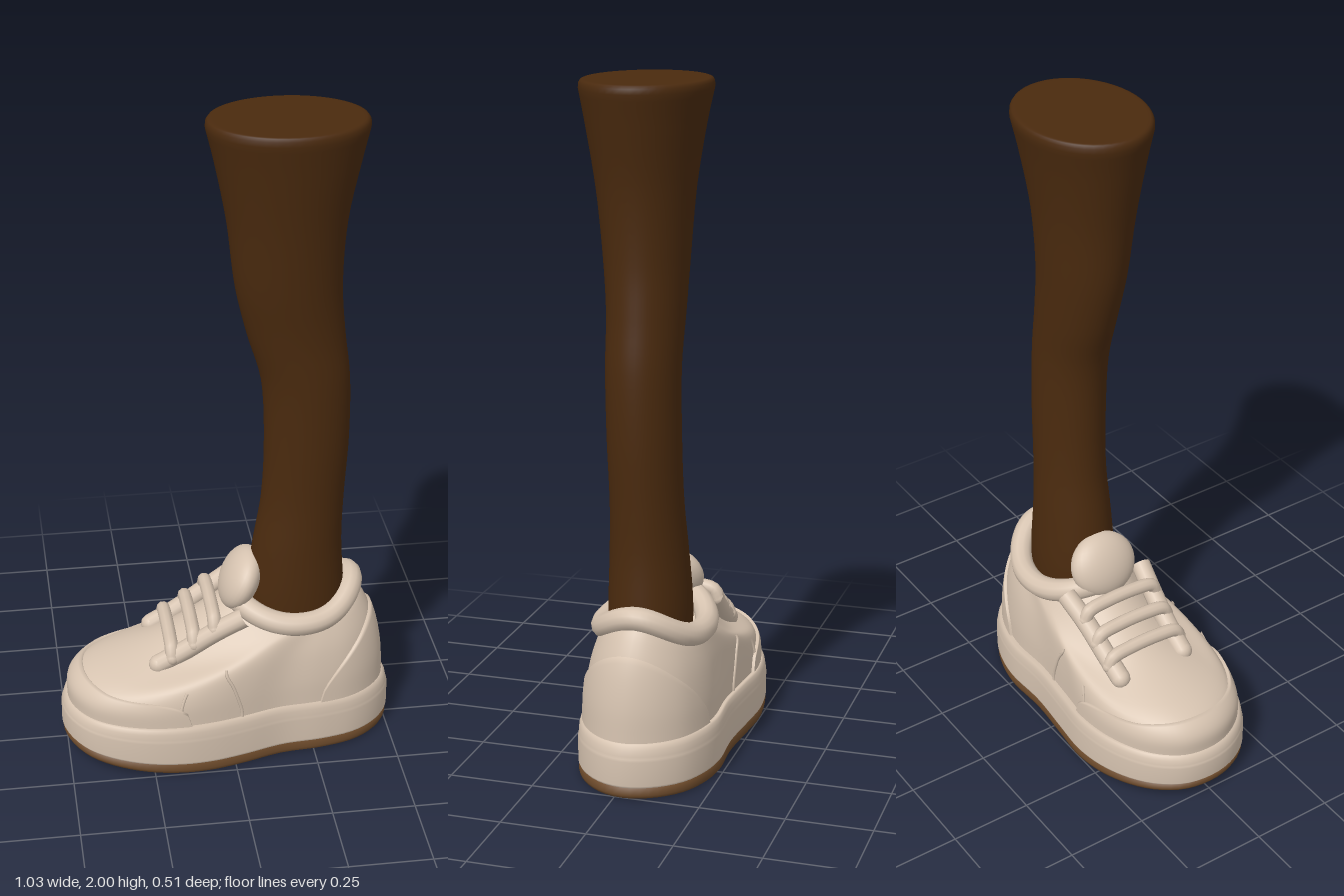
import * as THREE from 'three';

const V = (x, y, z) => new THREE.Vector3(x, y, z);
const mat = (name, color, side = THREE.FrontSide) => {
  const m = new THREE.MeshStandardMaterial({ color, side });
  m.name = name;
  return m;
};

// Skin a stack of rings (or open rows) of equal length, listed upwards
function loft(rings, closed = true) {
  const n = rings[0].length, idx = [];
  const cols = closed ? n : n - 1;
  for (let j = 0; j < rings.length - 1; j++) {
    for (let i = 0; i < cols; i++) {
      const a = j * n + i, b = j * n + (i + 1) % n;
      idx.push(a, a + n, b, b, a + n, b + n);
    }
  }
  const g = new THREE.BufferGeometry().setFromPoints(rings.flat());
  g.setIndex(idx);
  g.computeVertexNormals();
  return g;
}

// Plan outline of the sole, from toe along -z to heel and back along +z
const N = 96;
const outline = new THREE.CatmullRomCurve3([
  [-0.515, 0], [-0.5, -0.085], [-0.45, -0.155], [-0.38, -0.205], [-0.28, -0.243], [-0.17, -0.257],
  [-0.05, -0.247], [0.1, -0.235], [0.25, -0.24], [0.35, -0.22], [0.43, -0.18], [0.49, -0.11],
  [0.515, -0.03], [0.5, 0.04], [0.45, 0.105], [0.38, 0.15], [0.28, 0.175], [0.15, 0.188],
  [0.03, 0.222], [-0.07, 0.245], [-0.17, 0.255], [-0.28, 0.245], [-0.38, 0.21], [-0.45, 0.16], [-0.5, 0.08],
].map(([x, z]) => V(x, 0, z)), true);
outline.arcLengthDivisions = 600;
const wrap = (u) => ((u % 1) + 1) % 1;

// Sole ring with the toe curving slightly off the ground
function soleRing(scale, y) {
  return Array.from({ length: N }, (_, i) => {
    const p = outline.getPointAt(i / N).multiplyScalar(scale);
    const t = Math.max(0, (-0.05 - p.x) / 0.465);
    p.y = y + 0.035 * Math.pow(t, 1.5) * Math.max(0, 1 - y / 0.16);
    return p;
  });
}

// Collar line, by angle measured from the heel
function collarPoint(phi) {
  const c = Math.cos(phi);
  const y = 0.425 + (c > 0 ? 0.075 * c ** 3 : 0.055 * c * c);
  return V(0.205 + 0.185 * c, y, -0.03 + 0.148 * Math.sin(phi));
}

// Wall profiles (inward fraction, height fraction) for toe and sides
const profile = (pts) => new THREE.CatmullRomCurve3(pts.map(([a, b]) => V(a, b, 0)));
const toeProfile = profile([[0, 0], [0.01, 0.2], [0.1, 0.33], [0.55, 0.56], [1, 1]]);
const sideProfile = profile([[0, 0], [0.05, 0.3], [0.25, 0.6], [0.6, 0.84], [1, 1]]);
const BASE = 0.155;

// Point on the shoe upper: u runs round the shoe, v from sole to collar
function upperPoint(u, v, out = 0) {
  const b = outline.getPointAt(wrap(u));
  const phi = Math.atan2((b.z + 0.01) / 0.24, b.x / 0.515);
  const top = collarPoint(phi);
  const w = THREE.MathUtils.smoothstep(-Math.cos(phi), -0.1, 0.75);
  const f = sideProfile.getPoint(v).lerp(toeProfile.getPoint(v), w);
  const bx = b.x * 0.945, bz = b.z * 0.91;
  const p = V(bx + (top.x - bx) * f.x, BASE + (top.y - BASE) * f.y, bz + (top.z - bz) * f.x);
  if (out) {
    const e = 0.004, v0 = Math.min(v, 1 - e);
    const dv = upperPoint(u, v0 + e).sub(upperPoint(u, v0));
    const du = upperPoint(u + e, v).sub(upperPoint(u - e, v));
    p.addScaledVector(dv.cross(du).normalize(), out);
  }
  return p;
}

// Raised overlay panel following the upper, with a rounded upper edge
function panel(u0, u1, height, power, thick) {
  const rows = [], R = 12, C = 48;
  for (let j = 0; j <= R + 1; j++) {
    rows.push(Array.from({ length: C + 1 }, (_, i) => {
      const s = i / C;
      const vTop = height * Math.pow(Math.max(0, Math.sin(Math.PI * s)), power);
      const v = vTop * Math.min(1, j / R);
      return upperPoint(u0 + (u1 - u0) * s, v, j > R ? -0.006 : thick);
    }));
  }
  return loft(rows, false);
}

export function createModel() {
  const model = new THREE.Group();
  model.name = 'legWithSneaker';
  const skin = mat('darkBrownSkin', 0x4a2a0e);
  const cream = mat('creamLeather', 0xd6c3b0);
  const creamThin = mat('creamOverlay', 0xd6c3b0, THREE.DoubleSide);
  const rubber = mat('brownRubber', 0x6e4b2b);
  const add = (name, geo, m, parent = model) => {
    const mesh = new THREE.Mesh(geo, m);
    mesh.name = name;
    parent.add(mesh);
    return mesh;
  };

  // Leg: sections of y, xMin, xMax, zMin, zMax
  const key = [
    [0.4, 0.06, 0.37, -0.14, 0.1], [0.5, 0.065, 0.365, -0.14, 0.1], [0.65, 0.085, 0.355, -0.13, 0.095],
    [0.8, 0.108, 0.358, -0.12, 0.09], [1.0, 0.115, 0.368, -0.115, 0.095], [1.2, 0.103, 0.365, -0.112, 0.1],
    [1.35, 0.06, 0.347, -0.115, 0.105], [1.5, 0.025, 0.335, -0.12, 0.12], [1.7, 0.0, 0.345, -0.135, 0.142],
    [1.88, -0.035, 0.38, -0.163, 0.17], [1.975, -0.058, 0.402, -0.183, 0.187],
  ];
  const low = new THREE.CatmullRomCurve3(key.map((k) => V(k[1], k[0], k[3])));
  const high = new THREE.CatmullRomCurve3(key.map((k) => V(k[2], k[0], k[4])));
  const legRing = (a, b, y, s = 1) => Array.from({ length: 48 }, (_, i) => {
    const t = (i / 48) * Math.PI * 2;
    return V((a.x + b.x) / 2 - Math.cos(t) * s * (b.x - a.x) / 2, y,
      (a.z + b.z) / 2 - Math.sin(t) * s * (b.z - a.z) / 2);
  });
  const legRings = [];
  for (let j = 0; j <= 50; j++) {
    const a = low.getPoint(j / 50), b = high.getPoint(j / 50);
    legRings.push(legRing(a, b, (a.y + b.y) / 2));
  }
  const endA = low.getPoint(1), endB = high.getPoint(1);
  for (const [y, s] of [[1.99, 0.995], [1.998, 0.97], [2, 0.94], [2, 0.9], [2, 0]]) {
    legRings.push(legRing(endA, endB, y, s));
  }
  add('leg', loft(legRings), skin);

  const shoe = new THREE.Group();
  shoe.name = 'sneaker';
  model.add(shoe);

  // Sole layers
  add('outsole', loft([[0, 0], [0.3, 0], [0.55, 0], [0.75, 0], [0.9, 0], [0.965, 0], [0.985, 0.003],
    [0.993, 0.012], [0.993, 0.036], [0.95, 0.036]].map(([s, y]) => soleRing(s, y))), rubber, shoe);
  add('midsole', loft([[0.95, 0.033], [0.99, 0.033], [1, 0.042], [1, 0.115], [0.994, 0.122], [0.992, 0.13],
    [0.985, 0.148], [0.968, 0.162], [0.945, 0.166], [0.8, 0.16]].map(([s, y]) => soleRing(s, y))), cream, shoe);

  // Upper, closed inside the collar
  const upper = [];
  for (let j = 0; j <= 28; j++) upper.push(Array.from({ length: N }, (_, i) => upperPoint(i / N, j / 28)));
  upper.push(upper[28].map((p) => V(0.2 + (p.x - 0.2) * 0.6, 0.41, -0.03 + (p.z + 0.03) * 0.6)));
  add('upper', loft(upper), cream, shoe);

  // Overlay panels
  add('heelCounter', panel(0.37, 0.63, 0.62, 0.55, 0.008), creamThin, shoe);
  add('toeGuard', panel(-0.2, 0.2, 0.47, 0.35, 0.009), creamThin, shoe);

  // Padded collar
  const ring = Array.from({ length: 32 }, (_, i) => collarPoint((i / 32) * Math.PI * 2));
  add('collar', new THREE.TubeGeometry(new THREE.CatmullRomCurve3(ring, true), 80, 0.035, 12, true), cream, shoe);

  // Tongue
  const tongue = add('tongue', new THREE.SphereGeometry(1, 32, 20), cream, shoe);
  tongue.scale.set(0.055, 0.1, 0.11);
  tongue.rotation.z = -0.45;
  tongue.position.set(0.045, 0.525, -0.02);

  // Eyelet strips and side seams, mirrored across the shoe
  for (const s of [-1, 1]) {
    const side = s > 0 ? 'left' : 'right';
    const path = new THREE.CatmullRomCurve3([[-0.22, 0.305, 0.115], [-0.14, 0.35, 0.118],
      [-0.05, 0.41, 0.125], [0.04, 0.465, 0.138]].map(([x, y, z]) => V(x, y, -0.02 + s * z)));
    add(side + 'EyeletStrip', new THREE.TubeGeometry(path, 24, 0.03, 12), cream, shoe);
    const tip = add(side + 'EyeletStripTip', new THREE.SphereGeometry(0.03, 16, 12), cream, shoe);
    tip.position.copy(path.getPoint(0));
    for (const [u0, u1, vEnd] of [[0.265, 0.2, 0.62], [0.185, 0.175, 0.45]]) {
      const pts = Array.from({ length: 10 }, (_, i) => {
        const t = i / 9, u = u0 + (u1 - u0) * t * t;
        return upperPoint(s < 0 ? u : 1 - u, vEnd * t, 0.001);
      });
      add(side + 'Seam', new THREE.TubeGeometry(new THREE.CatmullRomCurve3(pts), 24, 0.005, 6), cream, shoe);
    }
  }

  // Laces
  [[-0.18, 0.362], [-0.113, 0.405], [-0.05, 0.455]].forEach(([x, y]) => {
    const path = new THREE.CatmullRomCurve3([[-0.13, -0.03], [-0.115, -0.003], [-0.05, 0.008],
      [0.05, 0.008], [0.115, -0.003], [0.13, -0.03]].map(([z, d]) => V(x, y + d, -0.02 + z)));
    add('lace', new THREE.TubeGeometry(path, 28, 0.021, 10), cream, shoe);
    for (const t of [0, 1]) {
      add('laceEnd', new THREE.SphereGeometry(0.021, 12, 8), cream, shoe).position.copy(path.getPoint(t));
    }
  });
  return model;
}
